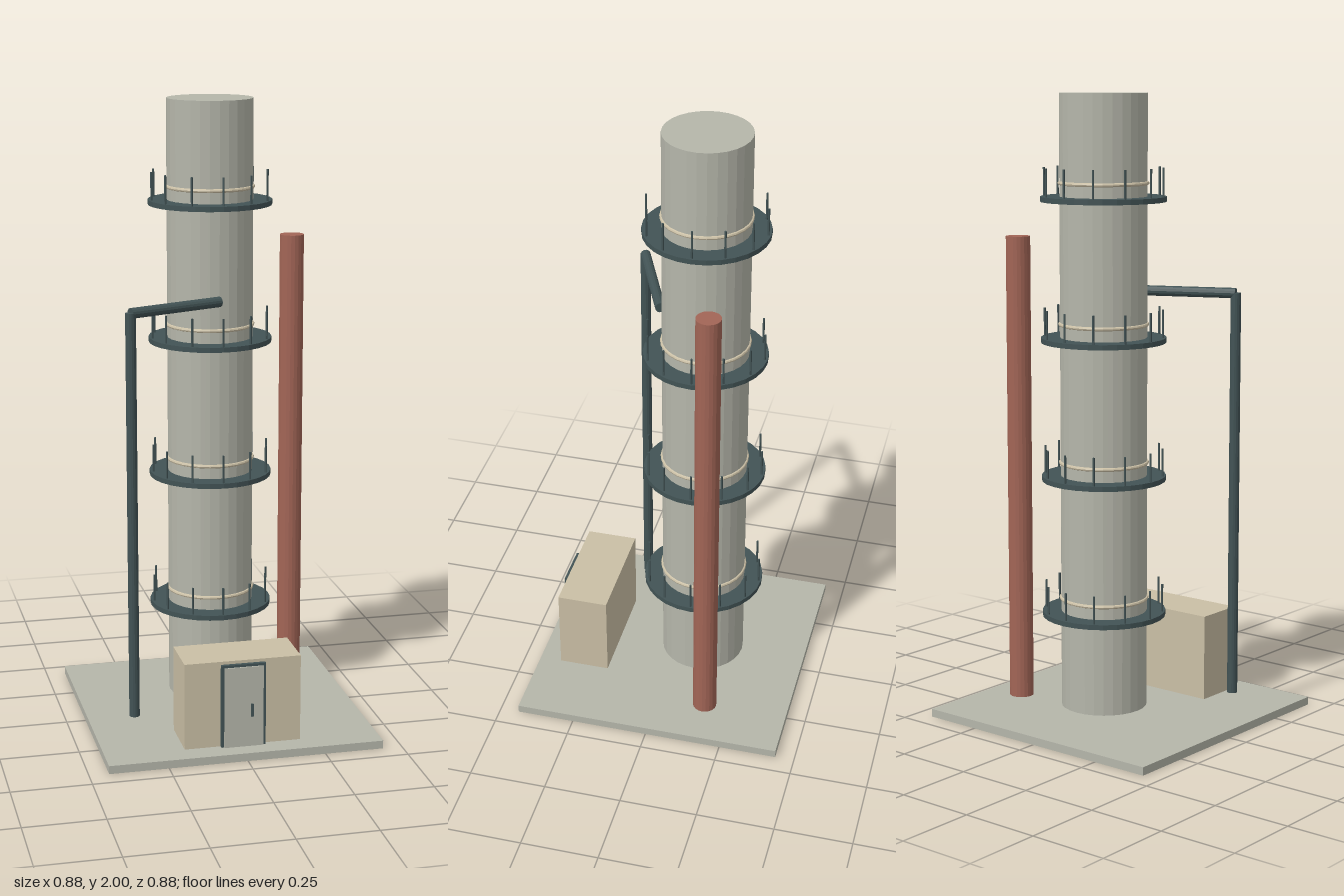
import * as THREE from 'three';

export function createModel() {
  const model = new THREE.Group();
  const material = (name, color) => {
    const m = new THREE.MeshStandardMaterial({ color, flatShading: true });
    m.name = name;
    return m;
  };
  const concrete = material('concrete', 0xb5b6aa);
  const beige = material('beige', 0xcabfa5);
  const steel = material('darkSteel', 0x425355);
  const rust = material('rustRed', 0xa26556);

  const add = (parent, name, geometry, mat, x, y, z) => {
    const mesh = new THREE.Mesh(geometry, mat);
    mesh.name = name;
    mesh.position.set(x, y, z);
    parent.add(mesh);
    return mesh;
  };
  // Box and upright cylinder given by their bottom and top heights
  const box = (name, mat, w, d, y0, y1, x, z) =>
    add(model, name, new THREE.BoxGeometry(w, y1 - y0, d), mat, x, (y0 + y1) / 2, z);
  const column = (parent, name, mat, r, y0, y1, x, z, sides) =>
    add(parent, name, new THREE.CylinderGeometry(r, r, y1 - y0, sides), mat, x, (y0 + y1) / 2, z);

  // Base slab, main tower and slim side stack
  box('baseSlab', concrete, 0.876, 0.876, 0, 0.026, 0, 0);
  const towerZ = -0.09;
  column(model, 'tower', concrete, 0.137, 0.05, 2, 0, towerZ, 28);
  column(model, 'sideStack', rust, 0.039, 0.04, 1.55, 0.29, -0.166, 20);

  // Walkways with railing posts and a beige band above each
  for (let i = 0; i < 4; i++) {
    const level = new THREE.Group();
    level.name = 'walkway' + (i + 1);
    level.position.set(0, 0.355 + i * 0.44, towerZ);
    model.add(level);
    column(level, 'walkwayDeck', steel, 0.197, -0.008, 0.008, 0, 0, 28);
    for (let k = 0; k < 12; k++) {
      const a = (k / 12) * Math.PI * 2;
      column(level, 'railingPost', steel, 0.0035, 0.008, 0.097,
        Math.cos(a) * 0.188, Math.sin(a) * 0.188, 6);
    }
    const band = add(level, 'towerBand', new THREE.TorusGeometry(0.137, 0.006, 8, 28), beige, 0, 0.049, 0);
    band.rotation.x = Math.PI / 2;
  }

  // Down pipe and its horizontal run into the tower
  column(model, 'downPipe', steel, 0.0165, 0.08, 1.38, -0.31, 0.186, 14);
  const from = new THREE.Vector3(-0.31, 1.379, 0.186);
  const to = new THREE.Vector3(-0.002, 1.379, 0.056);
  const run = to.clone().sub(from);
  const mid = from.clone().add(to).multiplyScalar(0.5);
  const pipe = add(model, 'crossPipe', new THREE.CylinderGeometry(0.0165, 0.0165, run.length(), 14),
    steel, mid.x, mid.y, mid.z);
  pipe.quaternion.setFromUnitVectors(new THREE.Vector3(0, 1, 0), run.normalize());

  // Control hut with framed door
  box('hut', beige, 0.372, 0.166, 0.026, 0.306, 0, 0.283);
  box('doorFrame', steel, 0.142, 0.014, 0.026, 0.296, 0, 0.371);
  box('door', concrete, 0.125, 0.006, 0.026, 0.288, 0, 0.38);
  box('doorHandle', steel, 0.007, 0.006, 0.125, 0.167, 0.026, 0.386);

  return model;
}
